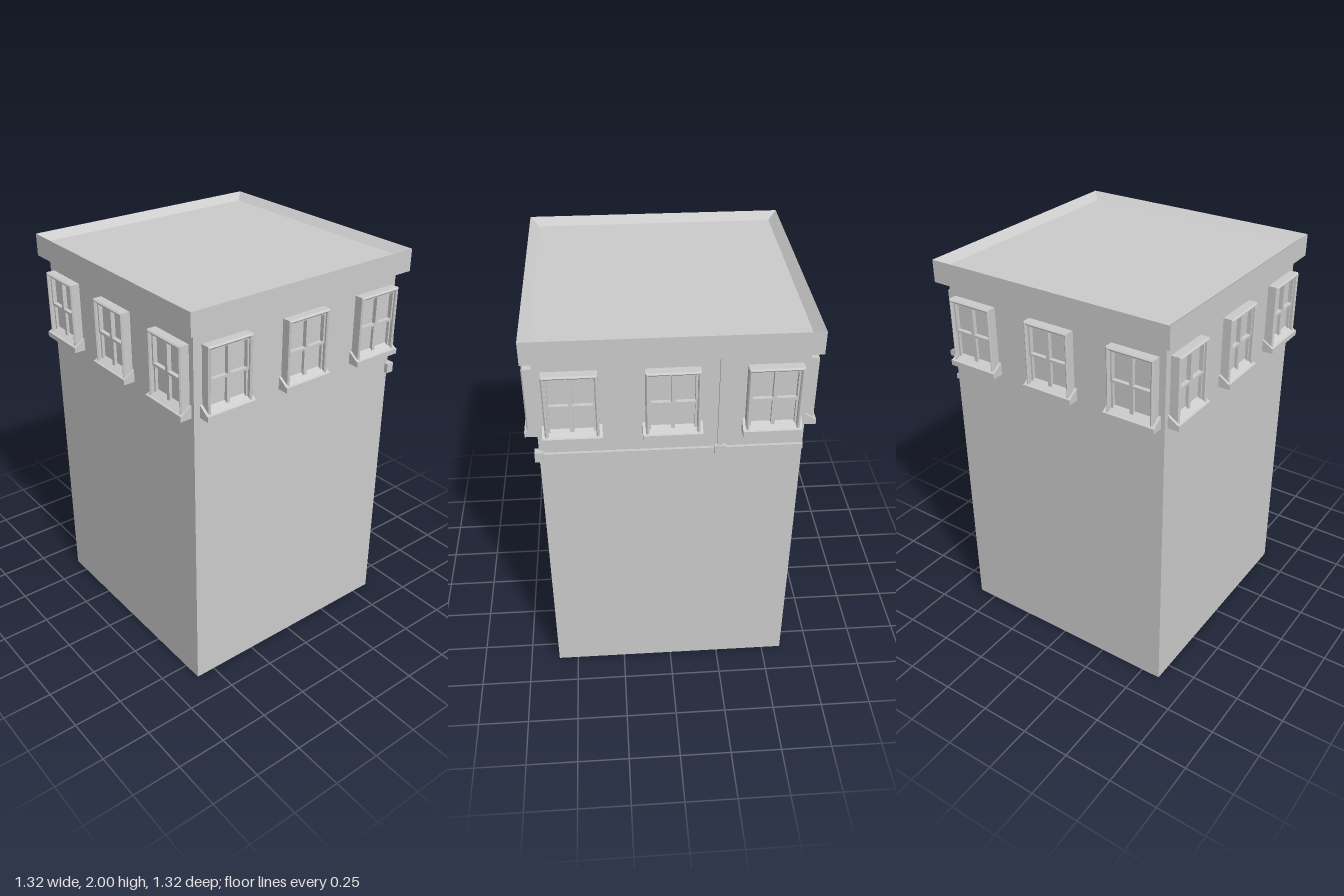
import * as THREE from 'three';

const material = new THREE.MeshStandardMaterial({ color: 0xcccccc, flatShading: true });

function addMesh(parent, name, geometry, x = 0, y = 0, z = 0) {
  const mesh = new THREE.Mesh(geometry, material);
  mesh.name = name;
  mesh.position.set(x, y, z);
  parent.add(mesh);
  return mesh;
}

function addBox(parent, name, w, h, d, x, y, z) {
  return addMesh(parent, name, new THREE.BoxGeometry(w, h, d), x, y, z);
}

function rectangle(target, x0, y0, x1, y1) {
  target.moveTo(x0, y0);
  target.lineTo(x1, y0);
  target.lineTo(x1, y1);
  target.lineTo(x0, y1);
  target.closePath();
  return target;
}

// Window surround: a deep frame with slightly chamfered edges
function surroundGeometry() {
  const shape = rectangle(new THREE.Shape(), -0.121, 1.495, 0.121, 1.825);
  shape.holes.push(rectangle(new THREE.Path(), -0.106, 1.51, 0.106, 1.81));
  const bevel = 0.006;
  return new THREE.ExtrudeGeometry(shape, {
    depth: 0.05 - bevel, bevelEnabled: true, bevelSegments: 1,
    bevelThickness: bevel, bevelSize: bevel, bevelOffset: -bevel,
  });
}

// Sill: side profile with a sloping top, extruded along the wall
function sillGeometry() {
  const width = 0.268;
  const shape = new THREE.Shape([
    [0, 1.482], [0.06, 1.482], [0.06, 1.508], [0.05, 1.51], [0, 1.545],
  ].map(([x, y]) => new THREE.Vector2(x, y)));
  const geometry = new THREE.ExtrudeGeometry(shape, { depth: width, bevelEnabled: false });
  geometry.rotateY(-Math.PI / 2);
  geometry.translate(width / 2, 0, 0);
  return geometry;
}

const surround = surroundGeometry();
const sill = sillGeometry();

// One window, with its back on z = 0 and facing +z
function createWindow() {
  const win = new THREE.Group();
  win.name = 'window';
  addMesh(win, 'windowSurround', surround);
  addMesh(win, 'windowSill', sill);
  addBox(win, 'glass', 0.22, 0.31, 0.012, 0, 1.66, 0.008);
  // Upper sash sits a little in front of the lower one
  for (const [name, y0, y1, z] of [['upperSash', 1.655, 1.812, 0.03], ['lowerSash', 1.508, 1.664, 0.024]]) {
    const shape = rectangle(new THREE.Shape(), -0.108, y0, 0.108, y1);
    for (const side of [-1, 1]) {
      const a = side * 0.009, b = side * 0.097;
      shape.holes.push(rectangle(new THREE.Path(), Math.min(a, b), y0 + 0.012, Math.max(a, b), y1 - 0.012));
    }
    addMesh(win, name, new THREE.ExtrudeGeometry(shape, { depth: z, bevelEnabled: false }), 0, 0, 0.005);
  }
  return win;
}

export function createModel() {
  const model = new THREE.Group();
  model.name = 'building';

  // Main block
  addBox(model, 'walls', 1.2, 1.89, 1.2, 0, 0.945, 0);

  // Cornice with a shallow sunken roof inside a sharp rim
  const profile = [
    [0.6, 1.88], [0.616, 1.88], [0.616, 1.89], [0.644, 1.89],
    [0.644, 2], [0.6, 1.965], [0, 1.965],
  ].map(([r, y]) => new THREE.Vector2(r * Math.SQRT2, y));
  addMesh(model, 'corniceAndRoof', new THREE.LatheGeometry(profile, 4, Math.PI / 4), 0, 0, -0.003);

  // Three windows on every wall
  const walls = [
    ['front', 0, 0.003], ['left', Math.PI / 2, 0.012],
    ['back', Math.PI, 0.003], ['right', -Math.PI / 2, 0],
  ];
  for (const [name, angle, shift] of walls) {
    const row = new THREE.Group();
    row.name = name + 'Windows';
    row.rotation.y = angle;
    for (const i of [-1, 0, 1]) {
      const win = createWindow();
      win.position.set(i * 0.446 + shift, 0, 0.598);
      row.add(win);
    }
    model.add(row);
  }

  // Conduit along the back wall, with a riser and junction boxes
  const conduit = new THREE.Group();
  conduit.name = 'backConduit';
  addBox(conduit, 'horizontalPipe', 1.2, 0.024, 0.016, 0, 1.385, -0.606);
  addBox(conduit, 'verticalPipe', 0.026, 0.49, 0.018, -0.22, 1.64, -0.606);
  addBox(conduit, 'junctionBox', 0.05, 0.05, 0.025, -0.22, 1.385, -0.61);
  addBox(conduit, 'endBox', 0.04, 0.05, 0.04, 0.6, 1.385, -0.602);
  model.add(conduit);

  return model;
}
